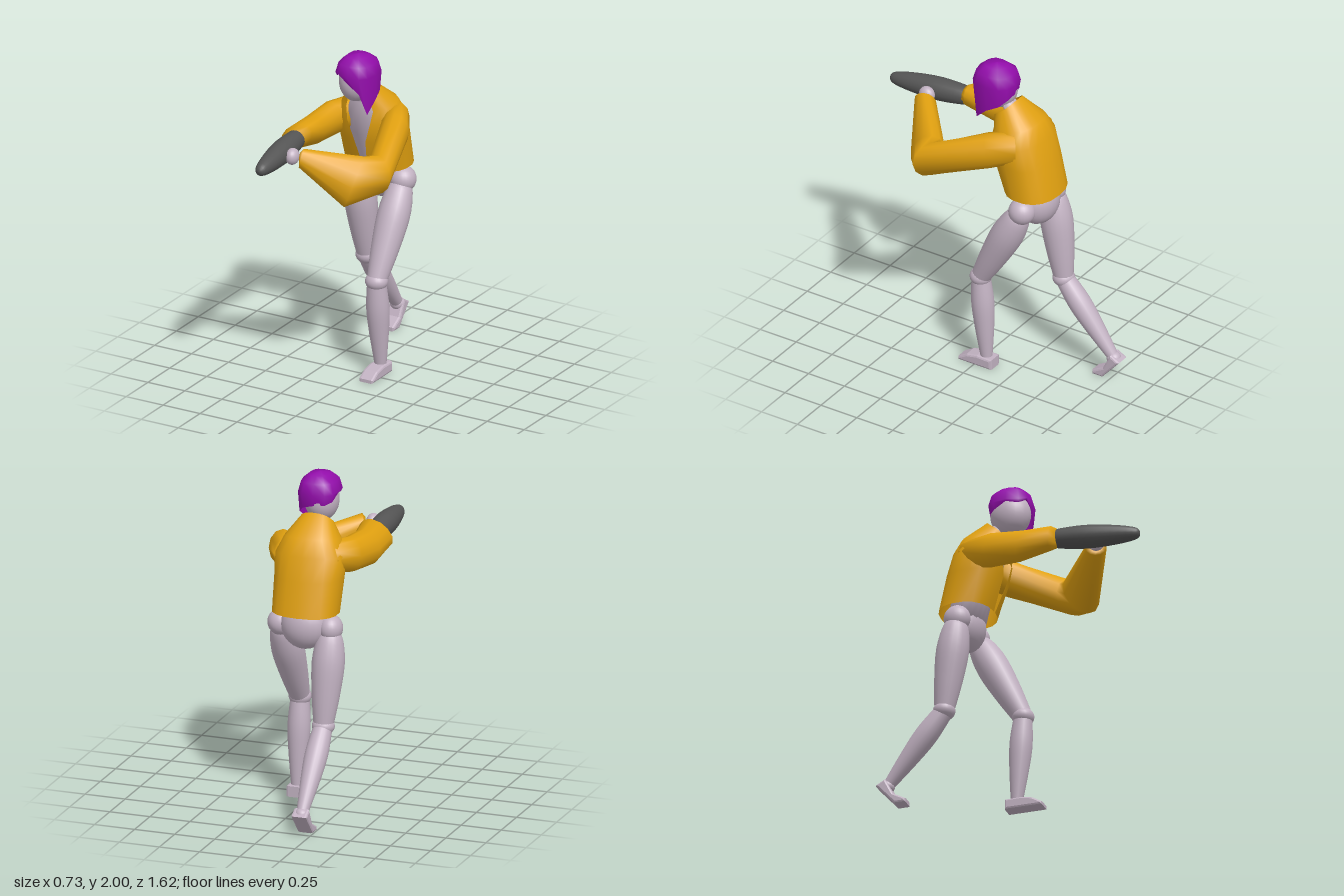
import * as THREE from 'three';

const V = (x, y, z) => new THREE.Vector3(x, y, z);
const mat = (color) => new THREE.MeshStandardMaterial({ color, side: THREE.DoubleSide });
const CX = -0.055; // body midline

// Skin of quads through rings of points; optional end caps.
function loft(rings, closed = true, caps = false) {
  const n = rings[0].length, pos = [], idx = [];
  rings.forEach((r) => r.forEach((p) => pos.push(p.x, p.y, p.z)));
  for (let i = 0; i < rings.length - 1; i++) {
    for (let j = 0; j < (closed ? n : n - 1); j++) {
      const k = (j + 1) % n, a = i * n + j, b = i * n + k, c = a + n, d = b + n;
      idx.push(a, b, d, a, d, c);
    }
  }
  if (caps) {
    for (let j = 1; j < n - 1; j++) {
      const e = (rings.length - 1) * n;
      idx.push(0, j + 1, j, e, e + j, e + j + 1);
    }
  }
  const g = new THREE.BufferGeometry();
  g.setAttribute('position', new THREE.Float32BufferAttribute(pos, 3));
  g.setIndex(idx);
  g.computeVertexNormals();
  return g;
}

// Ellipse around c spanned by the half axes u and v.
function ring(c, u, v, n = 12) {
  return Array.from({ length: n }, (_, i) => {
    const a = (i / n) * Math.PI * 2;
    return c.clone().addScaledVector(u, Math.cos(a)).addScaledVector(v, Math.sin(a));
  });
}

const sq = (v, p) => Math.sign(v) * Math.pow(Math.abs(v), p);

export function createModel() {
  const model = new THREE.Group();
  const skin = mat(0xc2b2c2), cloth = mat(0xe0a010), purple = mat(0x930dab), dark = mat(0x555555);

  const add = (name, geo, m) => {
    const mesh = new THREE.Mesh(geo, m);
    mesh.name = name;
    model.add(mesh);
    return mesh;
  };
  const ball = (name, c, rx, ry = rx, rz = rx) => {
    const b = add(name, new THREE.SphereGeometry(1, 24, 16), skin);
    b.scale.set(rx, ry, rz);
    b.position.copy(c);
  };
  // Turned limb from a to b; profile holds [radius, fraction along the limb].
  const limb = (name, a, b, profile, m = skin) => {
    const dir = b.clone().sub(a), len = dir.length();
    const curve = new THREE.SplineCurve(profile.map(([r, t]) => new THREE.Vector2(r, t * len)));
    const pts = curve.getPoints(16).map((p) => new THREE.Vector2(Math.max(p.x, 0), p.y));
    const mesh = add(name, new THREE.LatheGeometry(pts, 20), m);
    mesh.position.copy(a);
    mesh.quaternion.setFromUnitVectors(V(0, 1, 0), dir.normalize());
  };

  // Legs: joint balls, thighs, shins and feet
  const thigh = [[0.035, 0], [0.075, 0.1], [0.097, 0.35], [0.082, 0.7], [0.058, 1]];
  const shin = [[0.055, 0], [0.068, 0.3], [0.058, 0.6], [0.033, 1]];
  const legs = [
    {
      side: 'left', hip: V(0.1, 1.14, -0.31), knee: V(0.092, 0.595, -0.02), ankle: V(0.095, 0.04, -0.062),
      foot: [[-0.12, 0], [0.11, 0], [0.11, 0.02], [0.05, 0.055], [-0.02, 0.068], [-0.12, 0.065]],
    },
    {
      side: 'right', hip: V(-0.215, 1.14, -0.32), knee: V(-0.2, 0.565, -0.405), ankle: V(-0.2, 0.13, -0.755),
      foot: [[-0.815, 0.13], [-0.7, 0], [-0.63, 0], [-0.63, 0.025], [-0.705, 0.065], [-0.755, 0.165]],
    },
  ];
  for (const { side, hip, knee, ankle, foot } of legs) {
    ball(side + 'Hip', hip, side === 'left' ? 0.08 : 0.07, 0.08, 0.08);
    limb(side + 'Thigh', hip, knee, thigh);
    ball(side + 'Knee', knee, 0.068, 0.055, 0.066);
    limb(side + 'Shin', knee, ankle, shin);
    ball(side + 'Ankle', ankle, 0.044, 0.04, 0.044);
    const shape = new THREE.Shape(foot.map(([z, y]) => new THREE.Vector2(z, y)));
    const geo = new THREE.ExtrudeGeometry(shape, {
      depth: 0.07, bevelSize: 0.012, bevelOffset: -0.012, bevelThickness: 0.014, bevelSegments: 2,
    });
    geo.translate(0, 0, -0.035).rotateY(-Math.PI / 2).translate(ankle.x, 0, 0);
    add(side + 'Foot', geo, skin);
  }

  // Pelvis, chest and neck
  ball('pelvis', V(CX, 1.15, -0.325), 0.145, 0.15, 0.12);
  const chest = [
    [1.16, -0.32, 0.14, 0.11], [1.3, -0.29, 0.135, 0.115], [1.45, -0.25, 0.155, 0.13],
    [1.58, -0.21, 0.16, 0.12], [1.66, -0.18, 0.1, 0.085], [1.7, -0.15, 0.05, 0.05], [1.8, -0.08, 0.047, 0.047],
  ];
  add('chestAndNeck', loft(chest.map(([y, z, w, d]) => ring(V(CX, y, z), V(w, 0, 0), V(0, 0, -d), 20)), true, true), skin);

  // Open jacket: y, tilt, centre z, half width, half depth, half angle of the front opening
  const jacket = [
    [1.225, 0, -0.308, 0.2, 0.163, 0.03], [1.43, 0, -0.25, 0.205, 0.175, 0.14],
    [1.56, 0.01, -0.217, 0.215, 0.16, 0.3], [1.65, 0.02, -0.195, 0.165, 0.135, 0.52],
    [1.725, 0.06, -0.115, 0.1, 0.065, 0.8],
  ].map(([y, tilt, z, w, d, gap]) => Array.from({ length: 19 }, (_, i) => {
    const a = gap + (i / 18) * (Math.PI * 2 - gap * 2);
    return V(CX + w * sq(Math.sin(a), 0.85), y - tilt * Math.cos(a), z + d * sq(Math.cos(a), 0.85));
  }));
  add('jacketBody', loft(jacket, false), cloth);

  // Baggy sleeves: centre, then two half axes of each cross-section
  add('leftSleeve', loft([
    ring(V(0.08, 1.55, -0.24), V(0.07, 0, -0.06), V(0, 0.1, 0)),
    ring(V(0.155, 1.525, -0.12), V(0.085, 0, -0.025), V(0.01, 0.11, 0.02)),
    ring(V(0.25, 1.395, 0.225), V(0.11, 0, 0.055), V(0.01, 0.115, 0)),
    ring(V(0.14, 1.355, 0.32), V(0.04, 0, 0.09), V(0.035, 0.148, -0.055)),
    ring(V(-0.11, 1.517, 0.5), V(0.025, 0, 0.058), V(0.015, 0.056, 0)),
    ring(V(-0.115, 1.519, 0.503), V(0.012, 0, 0.035), V(0, 0.035, 0)),
  ], true, true), cloth);
  add('rightSleeve', loft([
    ring(V(-0.18, 1.55, -0.24), V(0.07, 0, 0.06), V(0, 0.09, 0)),
    ring(V(-0.25, 1.53, -0.1), V(0.08, 0, 0.015), V(0, 0.105, 0.02)),
    ring(V(-0.275, 1.515, 0.1), V(0.088, 0, 0), V(0.02, 0.1, 0.02)),
    ring(V(-0.27, 1.54, 0.28), V(0.095, 0.01, -0.01), V(0.03, 0.085, 0)),
    ring(V(-0.265, 1.54, 0.318), V(0.06, 0, 0), V(0, 0.055, 0)),
  ], true, true), cloth);

  // Dark gauntlet over the right forearm, and the left hand resting against it
  limb('gauntlet', V(-0.26, 1.54, 0.27), V(-0.215, 1.517, 0.81),
    [[0.045, 0], [0.06, 0.12], [0.07, 0.42], [0.056, 0.75], [0.033, 0.96], [0, 1]], dark);
  ball('leftHand', V(-0.158, 1.525, 0.52), 0.04, 0.05, 0.05);

  // Head
  ball('head', V(CX, 1.83, -0.045), 0.1, 0.13, 0.122);

  // Asymmetric hair: lower edge per 30 degrees, from the front towards the left
  const edge = [1.845, 1.79, 1.655, 1.725, 1.765, 1.8, 1.82, 1.825, 1.84, 1.88, 1.865, 1.89];
  const hairRing = (s, yOf) => edge.map((e, i) => {
    const a = (i / 12) * Math.PI * 2;
    return V(-0.043 + 0.122 * s * sq(Math.sin(a), 0.75), yOf(e), -0.042 + 0.134 * s * sq(Math.cos(a), 0.75));
  });
  add('hair', loft([
    hairRing(0.001, () => 2), hairRing(0.5, () => 1.988), hairRing(0.86, () => 1.95),
    hairRing(1, (e) => Math.max(1.885, e + 0.01)), hairRing(0.93, (e) => e),
  ]), purple);

  return model;
}
